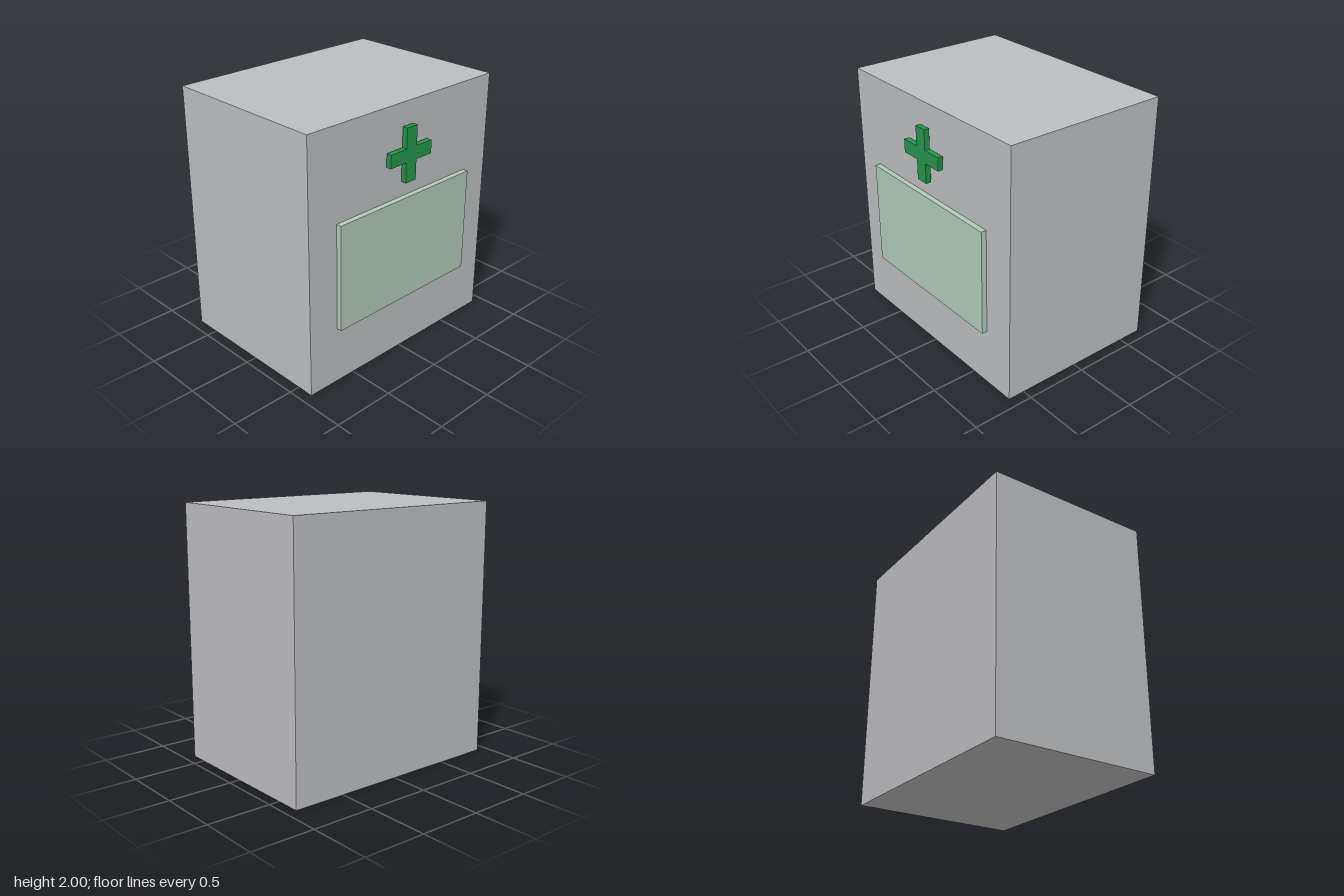
import * as THREE from 'three';

const grey = new THREE.MeshStandardMaterial({ name: 'wall grey', color: 0xbcbdbf });
const paleGreen = new THREE.MeshStandardMaterial({ name: 'pale green', color: 0xb1c9b9 });
const green = new THREE.MeshStandardMaterial({ name: 'cross green', color: 0x24944c });

function addPart(group, name, geometry, material, x, y, z) {
  const mesh = new THREE.Mesh(geometry, material);
  mesh.name = name;
  mesh.position.set(x, y, z);
  group.add(mesh);
}

// Plus-shaped outline: a = half arm width, b = half span
function plusShape(a, b) {
  return new THREE.Shape([
    [a, a], [a, b], [-a, b], [-a, a], [-b, a], [-b, -a],
    [-a, -a], [-a, -b], [a, -b], [a, -a], [b, -a], [b, a],
  ].map(([x, y]) => new THREE.Vector2(x, y)));
}

export function createModel() {
  const model = new THREE.Group();
  model.name = 'pharmacyKiosk';

  // Main block
  addPart(model, 'body', new THREE.BoxGeometry(1.833, 2, 1.333), grey, 0, 1, -0.031);

  // Large front panel, standing just clear of the wall
  addPart(model, 'frontWindow', new THREE.BoxGeometry(1.333, 0.833, 0.042), paleGreen, 0, 0.875, 0.661);

  // Raised cross sign floating in front of the wall
  const cross = new THREE.ExtrudeGeometry(plusShape(0.052, 0.208), { depth: 0.042, bevelEnabled: false });
  addPart(model, 'crossSign', cross, green, 0, 1.625, 0.656);

  return model;
}
